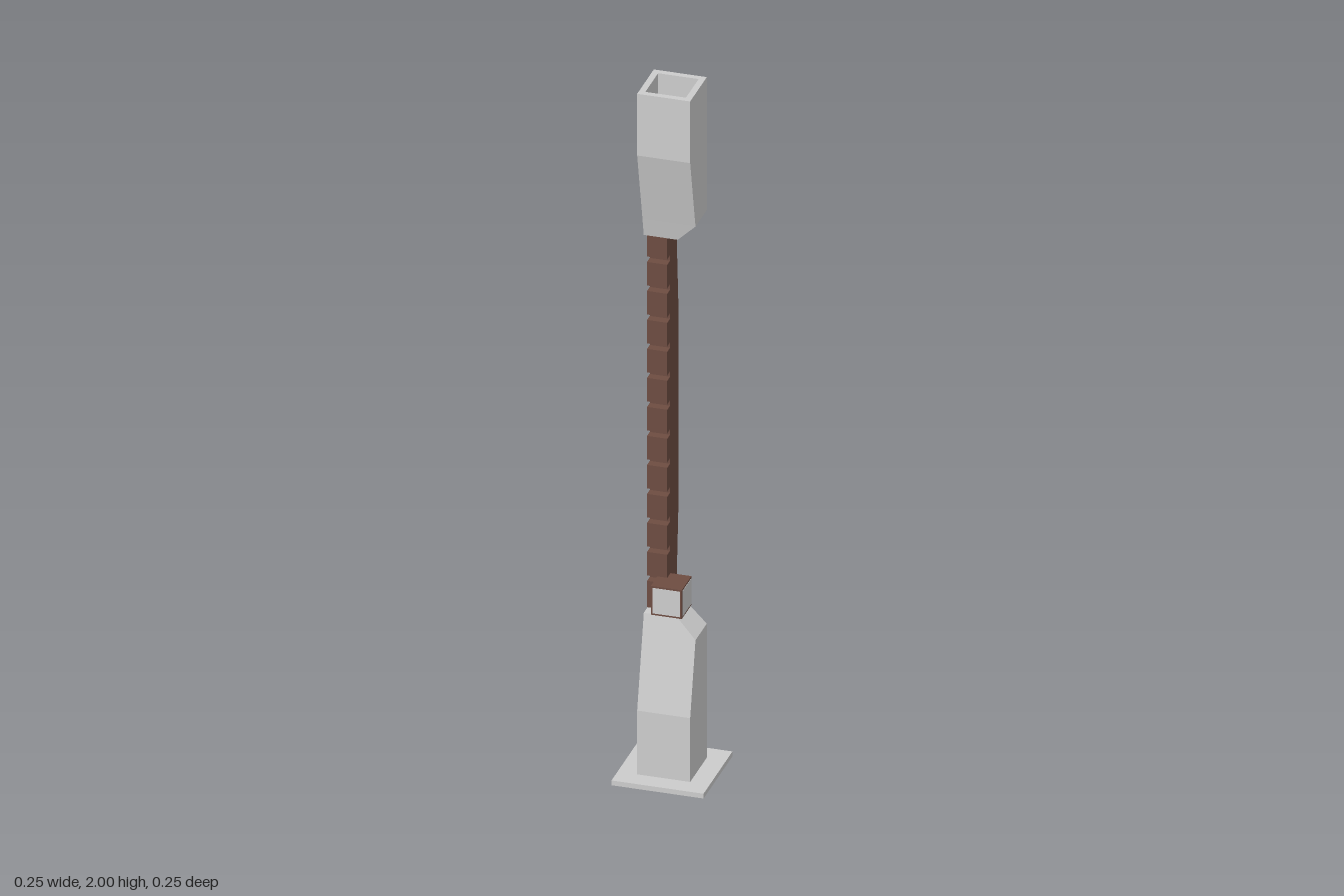
import * as THREE from 'three';

const grey = new THREE.MeshStandardMaterial({ color: 0xcccccc, flatShading: true });
const brown = new THREE.MeshStandardMaterial({ color: 0x6d4c41, flatShading: true });

function add(group, name, geometry, material, x = 0, y = 0, z = 0) {
  const mesh = new THREE.Mesh(geometry, material);
  mesh.name = name;
  mesh.position.set(x, y, z);
  group.add(mesh);
}

// Joins rectangular sections [y, x0, x1, z0, z1] in order and caps both ends
function loftRects(sections) {
  const rings = sections.map(([y, x0, x1, z0, z1]) =>
    [[x0, y, z1], [x1, y, z1], [x1, y, z0], [x0, y, z0]]);
  const pos = [];
  const quad = (a, b, c, d) => pos.push(...a, ...b, ...c, ...a, ...c, ...d);
  for (let r = 0; r < rings.length - 1; r++) {
    for (let i = 0; i < 4; i++) {
      const j = (i + 1) % 4;
      quad(rings[r][i], rings[r][j], rings[r + 1][j], rings[r + 1][i]);
    }
  }
  quad(...[...rings[0]].reverse());
  quad(...rings[rings.length - 1]);
  const geometry = new THREE.BufferGeometry();
  geometry.setAttribute('position', new THREE.Float32BufferAttribute(pos, 3));
  geometry.computeVertexNormals();
  return geometry;
}

// Curved back, evenly notched front, extruded across x
function gripGeometry() {
  const bottom = 0.46, top = 1.56, front = -0.013, notch = -0.037, segments = 13;
  const shape = new THREE.Shape();
  shape.moveTo(front, top);
  shape.lineTo(-0.091, top);
  shape.lineTo(-0.109, 1.31);
  shape.lineTo(-0.109, 0.71);
  shape.lineTo(-0.091, bottom);
  shape.lineTo(front, bottom);
  for (let i = 1; i < segments; i++) {
    const y = bottom + (top - bottom) * i / segments;
    shape.lineTo(front, y - 0.008);
    shape.lineTo(notch, y - 0.008);
    shape.lineTo(notch, y + 0.008);
    shape.lineTo(front, y + 0.008);
  }
  shape.closePath();
  const geometry = new THREE.ExtrudeGeometry(shape, { depth: 0.055, bevelEnabled: false });
  geometry.rotateY(-Math.PI / 2);
  geometry.translate(-0.017, 0, 0);
  return geometry;
}

export function createModel() {
  const model = new THREE.Group();
  model.name = 'post';
  const w = 0.072, hole = 0.055;

  add(model, 'basePlate', new THREE.BoxGeometry(0.25, 0.014, 0.25), grey, 0, 0.007, 0);

  // Lower post: sloping front and chamfered left shoulder
  add(model, 'lowerPost', loftRects([
    [0.01, -w, w, -w, w],
    [0.2, -w, w, -w, w],
    [0.405, -w, w, -w, 0.026],
    [0.457, -w, 0.02, -w, 0.015],
  ]), grey);

  // Upper post: the same taper upside down, with a square socket in the top
  add(model, 'upperPost', loftRects([
    [1.56, -w, 0.02, -w, 0.015],
    [1.612, -w, w, -w, 0.026],
    [1.82, -w, w, -w, w],
    [2, -w, w, -w, w],
    [2, -hole, hole, -hole, hole],
    [1.85, -hole, hole, -hole, hole],
  ]), grey);

  add(model, 'notchedGrip', gripGeometry(), brown);

  // Small box with grey panels on its front and left faces
  const box = new THREE.Group();
  box.name = 'lampBox';
  box.position.set(-0.002, 0.512, 0.001);
  add(box, 'lampHousing', new THREE.BoxGeometry(0.084, 0.084, 0.084), brown);
  add(box, 'frontPanel', new THREE.BoxGeometry(0.074, 0.074, 0.004), grey, 0, 0, 0.041);
  add(box, 'leftPanel', new THREE.BoxGeometry(0.004, 0.074, 0.074), grey, 0.041, 0, 0);
  model.add(box);

  return model;
}
